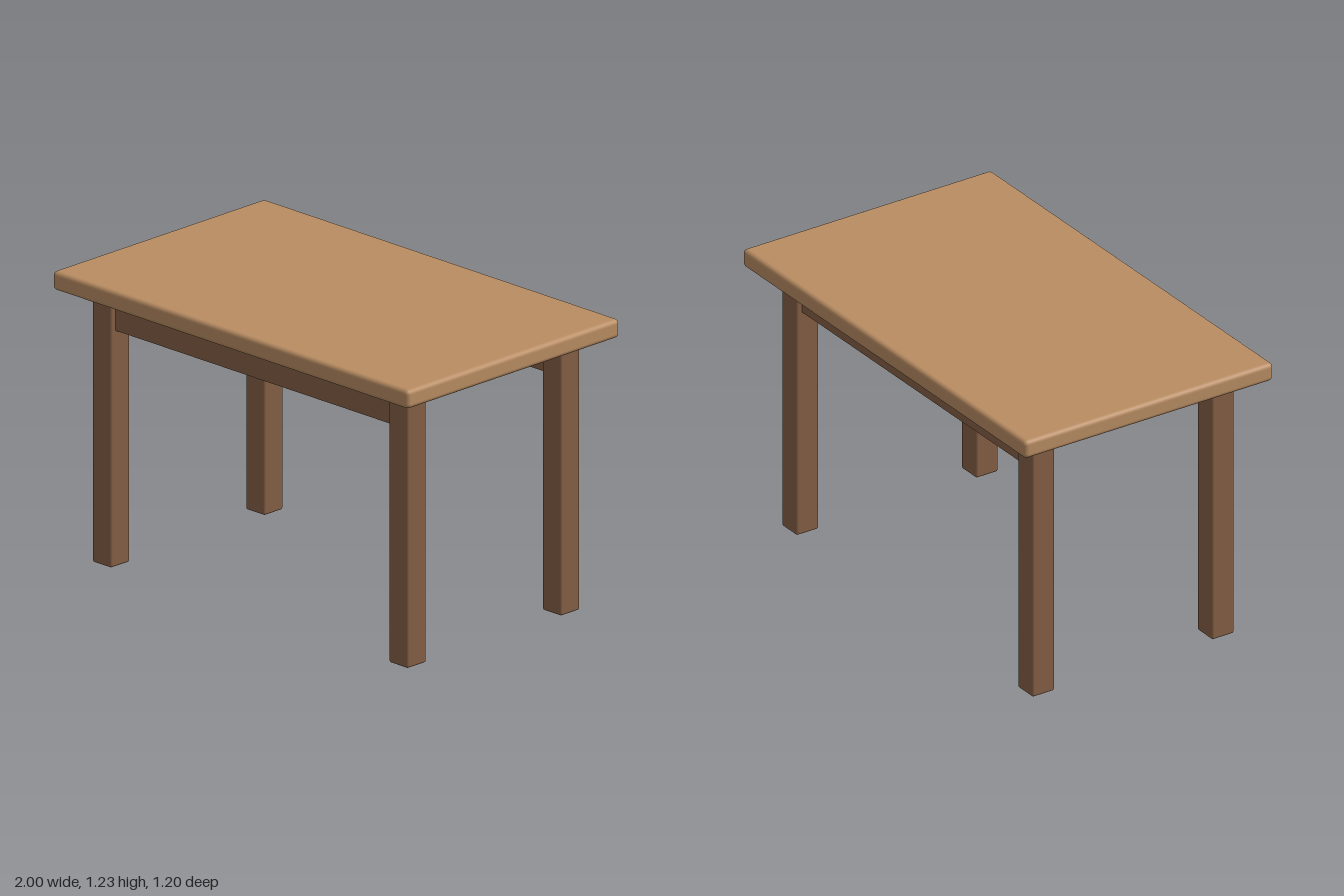
import * as THREE from 'three';
import { RoundedBoxGeometry } from 'three/addons/geometries/RoundedBoxGeometry.js';

export function createModel() {
  const lightWood = new THREE.MeshStandardMaterial({ name: 'lightWood', color: 0xb88c62 });
  const darkWood = new THREE.MeshStandardMaterial({ name: 'darkWood', color: 0x845f45 });

  const table = new THREE.Group();
  table.name = 'table';

  function add(name, geometry, material, x, y, z) {
    const mesh = new THREE.Mesh(geometry, material);
    mesh.name = name;
    mesh.position.set(x, y, z);
    table.add(mesh);
  }

  // Tabletop with softened edges
  add('tabletop', new RoundedBoxGeometry(2, 0.08, 1.2, 4, 0.02), lightWood, 0, 1.193, 0);

  // Four square legs, and a rail between the legs on each long side
  const legGeometry = new RoundedBoxGeometry(0.107, 1.153, 0.107, 3, 0.01);
  const railGeometry = new THREE.BoxGeometry(1.56, 0.153, 0.054);
  for (const [end, z] of [['front', 1], ['back', -1]]) {
    for (const [side, x] of [['Left', 1], ['Right', -1]]) {
      add(`${end}${side}Leg`, legGeometry, darkWood, x * 0.833, 0.5765, z * 0.433);
    }
    add(`${end}Rail`, railGeometry, darkWood, 0, 1.0765, z * 0.433);
  }

  return table;
}
